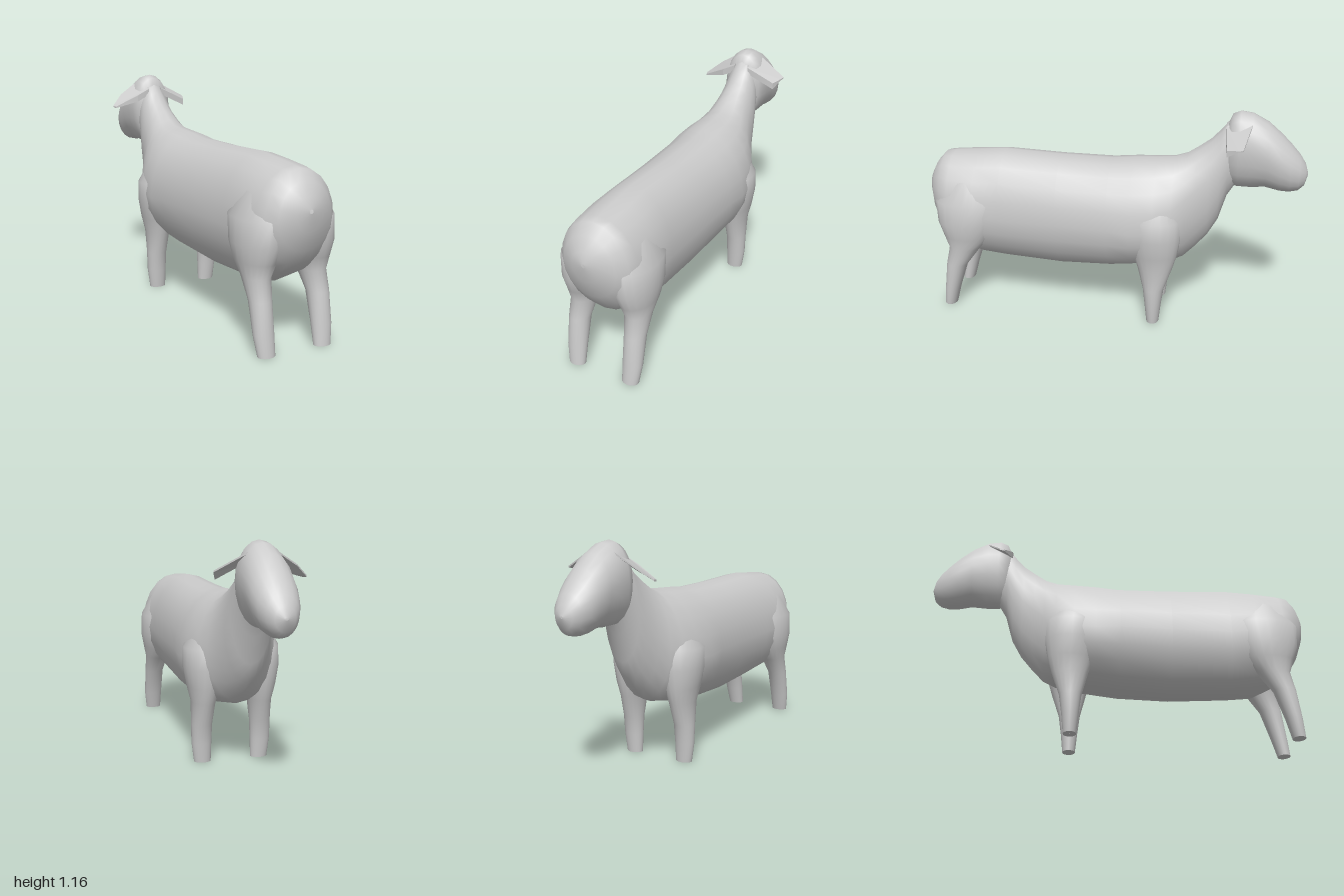
import * as THREE from 'three';

const SIDES = 20;
const material = new THREE.MeshStandardMaterial({ color: 0xcccccc, side: THREE.DoubleSide });

// Skins a list of closed rings with shared vertices, so the normals are smooth
function loft(name, rings) {
  const pos = rings.flat(2), index = [];
  for (let i = 0; i < rings.length - 1; i++) {
    for (let j = 0; j < SIDES; j++) {
      const k = (j + 1) % SIDES;
      const a = i * SIDES + j, b = i * SIDES + k, c = a + SIDES, d = b + SIDES;
      index.push(a, c, b, b, c, d);
    }
  }
  const geo = new THREE.BufferGeometry();
  geo.setAttribute('position', new THREE.Float32BufferAttribute(pos, 3));
  geo.setIndex(index);
  geo.computeVertexNormals();
  const mesh = new THREE.Mesh(geo, material);
  mesh.name = name;
  return mesh;
}

const ring = (fn) => Array.from({ length: SIDES }, (_, j) => {
  const t = (j / SIDES) * Math.PI * 2;
  return fn(Math.cos(t), Math.sin(t));
});

// Upright egg section: z, top, bottom, height of widest point, half width
const eggRing = ([z, top, bottom, mid, w]) =>
  ring((c, s) => [w * c, mid + s * (s > 0 ? top - mid : mid - bottom), z]);

// Level leg section: y, centre x, radius x, centre z, radius z
const legRing = (side) => ([y, cx, rx, cz, rz]) =>
  ring((c, s) => [side * cx + rx * c, y, cz - rz * s]);

// Rump to neck
const BODY = [
  [1.0, 0.68, 0.66, 0.67, 0.01],
  [0.99, 0.735, 0.575, 0.66, 0.07],
  [0.955, 0.80, 0.48, 0.63, 0.14],
  [0.91, 0.848, 0.41, 0.61, 0.185],
  [0.86, 0.855, 0.355, 0.59, 0.21],
  [0.72, 0.868, 0.28, 0.56, 0.226],
  [0.58, 0.88, 0.265, 0.55, 0.215],
  [0.27, 0.868, 0.25, 0.55, 0.225],
  [0.0, 0.866, 0.262, 0.55, 0.237],
  [-0.12, 0.878, 0.28, 0.54, 0.247],
  [-0.24, 0.886, 0.295, 0.55, 0.238],
  [-0.33, 0.895, 0.315, 0.57, 0.207],
  [-0.39, 0.918, 0.34, 0.62, 0.17],
  [-0.45, 0.96, 0.40, 0.68, 0.14],
  [-0.51, 1.005, 0.47, 0.74, 0.12],
  [-0.56, 1.06, 0.56, 0.82, 0.105],
  [-0.60, 1.11, 0.70, 0.90, 0.092],
  [-0.66, 1.13, 0.80, 0.95, 0.08],
];

// Poll to muzzle
const HEAD = [
  [-0.575, 0.95, 0.93, 0.94, 0.01],
  [-0.58, 1.07, 0.82, 0.96, 0.07],
  [-0.61, 1.14, 0.765, 0.97, 0.102],
  [-0.65, 1.157, 0.757, 0.97, 0.113],
  [-0.71, 1.148, 0.757, 0.97, 0.116],
  [-0.79, 1.105, 0.765, 0.95, 0.116],
  [-0.86, 1.045, 0.75, 0.91, 0.11],
  [-0.91, 0.995, 0.747, 0.88, 0.098],
  [-0.955, 0.945, 0.757, 0.86, 0.077],
  [-0.985, 0.90, 0.785, 0.845, 0.048],
  [-1.0, 0.85, 0.84, 0.845, 0.008],
];

// Legs from hidden top to hoof; the repeated last ring keeps the sole edge sharp
const HOOF = (z) => [[0, 0.153, 0.044, z, 0.033], [0, 0.153, 0.044, z, 0.033], [0, 0.153, 0.001, z, 0.001]];
const FRONT_LEG = [
  [0.72, 0.12, 0.06, -0.24, 0.09],
  [0.60, 0.135, 0.112, -0.24, 0.145],
  [0.50, 0.142, 0.107, -0.245, 0.14],
  [0.40, 0.148, 0.083, -0.25, 0.117],
  [0.32, 0.15, 0.061, -0.252, 0.092],
  [0.20, 0.157, 0.054, -0.247, 0.056],
  [0.10, 0.158, 0.052, -0.246, 0.043],
  ...HOOF(-0.246),
];
const REAR_LEG = [
  [0.74, 0.10, 0.08, 0.76, 0.12],
  [0.62, 0.125, 0.116, 0.76, 0.185],
  [0.50, 0.137, 0.108, 0.77, 0.165],
  [0.42, 0.146, 0.085, 0.775, 0.13],
  [0.35, 0.151, 0.064, 0.795, 0.085],
  [0.25, 0.157, 0.054, 0.843, 0.058],
  [0.10, 0.158, 0.052, 0.878, 0.042],
  ...HOOF(0.897),
];

// Thin folded ear: top outline, plus an underside of the same points moved down
function ear(name, outline) {
  const n = outline.length;
  const under = outline.map(([x, y, z], i) => [x, y - (i === 0 || i === n - 1 ? 0.035 : 0.008), z]);
  const index = [];
  const flip = outline[0][0] < 0;
  const tri = (a, b, c) => (flip ? index.push(a, c, b) : index.push(a, b, c));
  for (let i = 1; i < n - 1; i++) {
    tri(0, i + 1, i);
    tri(n, n + i, n + i + 1);
  }
  for (let i = 0; i < n; i++) {
    const k = (i + 1) % n;
    tri(i, k, n + i);
    tri(k, n + k, n + i);
  }
  const indexed = new THREE.BufferGeometry();
  indexed.setAttribute('position', new THREE.Float32BufferAttribute([...outline, ...under].flat(), 3));
  indexed.setIndex(index);
  const geo = indexed.toNonIndexed();
  geo.computeVertexNormals();
  const mesh = new THREE.Mesh(geo, material);
  mesh.name = name;
  return mesh;
}

export function createModel() {
  const model = new THREE.Group();
  model.name = 'sheep';
  model.add(loft('body', BODY.map(eggRing)), loft('head', HEAD.map(eggRing)));

  for (const [side, label] of [[1, 'Left'], [-1, 'Right']]) {
    model.add(loft('front' + label + 'Leg', FRONT_LEG.map(legRing(side))));
    model.add(loft('rear' + label + 'Leg', REAR_LEG.map(legRing(side))));
  }

  // Ears droop slightly differently on each side
  model.add(ear('leftEar', [
    [0.04, 1.08, -0.58], [0.03, 1.13, -0.65], [0.05, 1.12, -0.715],
    [0.222, 1.025, -0.675], [0.215, 1.02, -0.65], [0.192, 1.01, -0.595],
  ]));
  model.add(ear('rightEar', [
    [-0.04, 1.08, -0.58], [-0.03, 1.13, -0.65], [-0.05, 1.12, -0.715],
    [-0.17, 1.045, -0.69], [-0.24, 0.987, -0.64], [-0.235, 0.983, -0.612], [-0.11, 1.045, -0.58],
  ]));
  return model;
}
